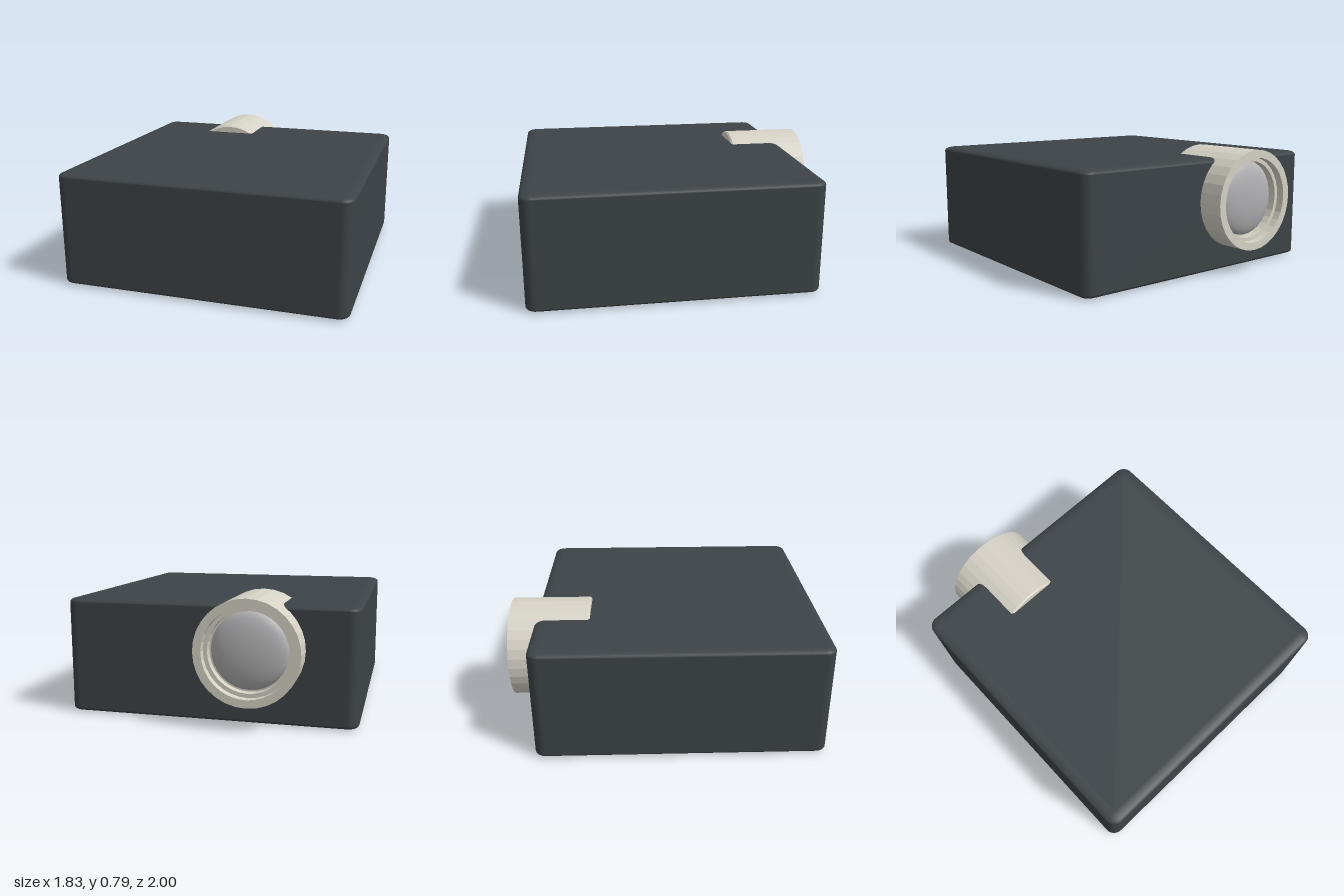
import * as THREE from 'three';
import { RoundedBoxGeometry } from 'three/addons/geometries/RoundedBoxGeometry.js';

const material = (color, flatShading = false) => new THREE.MeshStandardMaterial({ color, flatShading });

// Turned part whose profile [radius, distance towards the back] runs along -z
function turned(name, profile, mat) {
  const points = profile.map(([r, d]) => new THREE.Vector2(r, d));
  const geometry = new THREE.LatheGeometry(points, 32).rotateX(-Math.PI / 2);
  const mesh = new THREE.Mesh(geometry, mat);
  mesh.name = name;
  return mesh;
}

export function createModel() {
  const model = new THREE.Group();
  model.name = 'boxWithLens';

  // Case: a rounded cube squashed in height, so its edges are softer sideways
  const height = 0.735;
  const side = 1.832;
  const caseGeometry = new RoundedBoxGeometry(side, side, side, 4, 0.07);
  caseGeometry.scale(1, height / side, 1);
  const body = new THREE.Mesh(caseGeometry, material(0x3d4347));
  body.name = 'case';
  body.position.set(0, height / 2, 0.083);
  model.add(body);

  // Lens assembly, off centre and breaking through the top at the back
  const lensAssembly = new THREE.Group();
  lensAssembly.name = 'lensAssembly';
  lensAssembly.position.set(-0.28, 0.468, 0);
  model.add(lensAssembly);

  // Barrel with chamfered inner end and stepped recess
  lensAssembly.add(turned('lensBarrel', [
    [0, 0.485], [0.31, 0.485], [0.32, 0.495], [0.32, 1],
    [0.27, 1], [0.27, 0.95], [0.245, 0.95], [0.245, 0.9], [0, 0.9],
  ], material(0xd6d2c6, true)));

  // Domed glass
  const dome = [];
  for (let i = 0; i <= 8; i++) {
    const a = (i / 8) * Math.PI / 2;
    dome.push([0.235 * Math.cos(a), 0.9 + 0.065 * Math.sin(a)]);
  }
  lensAssembly.add(turned('lensGlass', dome, material(0xb0b0b2)));

  return model;
}
